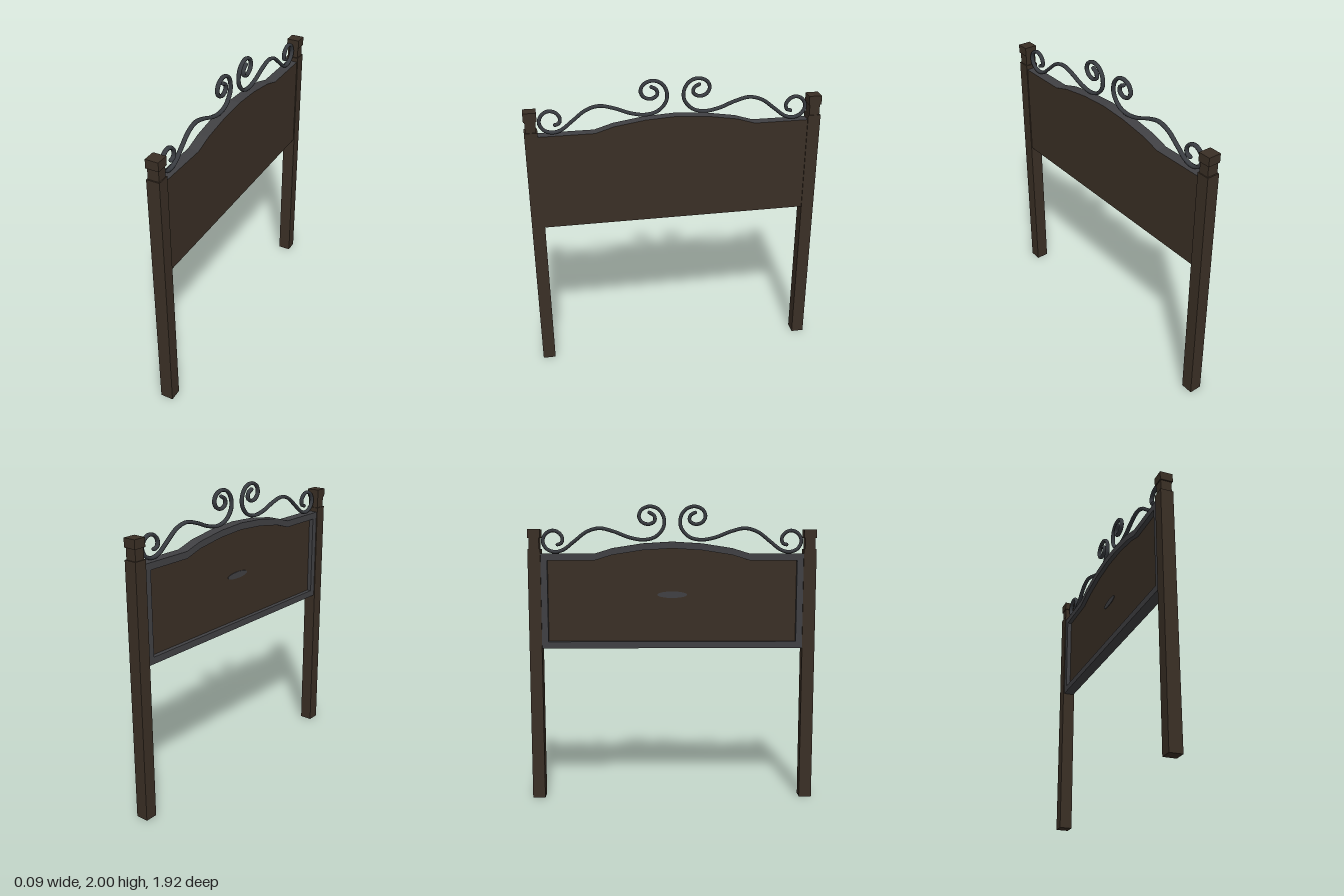
import * as THREE from 'three';

const mat = (name, color) => {
  const m = new THREE.MeshStandardMaterial({ color });
  m.name = name;
  return m;
};

export function createModel() {
  const wood = mat('dark wood', 0x3a2f25);
  const trim = mat('charcoal trim', 0x404043);
  const iron = mat('wrought iron', 0x383b40);
  const group = new THREE.Group();

  const add = (name, geometry, material, parent = group) => {
    const mesh = new THREE.Mesh(geometry, material);
    mesh.name = name;
    parent.add(mesh);
    return mesh;
  };

  // Board outline with a gently arched top, shrunk by an inset
  const outline = (inset) => {
    const side = 0.88 - inset, base = 1.04 + inset;
    const arch = [[-0.52, 1.675], [-0.4, 1.712], [-0.2, 1.743], [0, 1.755],
      [0.2, 1.743], [0.4, 1.712], [0.52, 1.675]];
    return [[-side, base], [side, base], [side, 1.675 - inset],
      ...arch.reverse().map(([s, y]) => [s, y - inset]), [-side, 1.675 - inset]]
      .map(([s, y]) => new THREE.Vector2(s, y));
  };
  // Extrude a shape drawn in the board plane from x0 to x1
  const slab = (shape, x0, x1) =>
    new THREE.ExtrudeGeometry(shape, { depth: x1 - x0, bevelEnabled: false, curveSegments: 16 })
      .rotateY(Math.PI / 2).translate(x0, 0, 0);

  // Raised frame, recessed panel and plain face
  const frame = new THREE.Shape(outline(0));
  frame.holes.push(new THREE.Path(outline(0.045).reverse()));
  add('frame', slab(frame, -0.036, 0.032), trim);
  add('recessedPanel', slab(new THREE.Shape(outline(0.04)), -0.006, 0.0), wood);
  add('plainFace', slab(new THREE.Shape(outline(0)), 0.032, 0.037), [wood, trim]);

  // Small plain plaque on the recessed panel
  const plaque = new THREE.Shape().absellipse(0, 1.4, 0.1, 0.022, 0, Math.PI * 2);
  add('plaque', slab(plaque, -0.01, -0.006), trim);

  // Scroll centre line as [z, y]
  const scroll = [[0.767, 1.735], [0.741, 1.745], [0.735, 1.782], [0.762, 1.817],
    [0.804, 1.828], [0.847, 1.804], [0.865, 1.756], [0.841, 1.708], [0.788, 1.687],
    [0.73, 1.70], [0.656, 1.756], [0.571, 1.82], [0.487, 1.843], [0.392, 1.822],
    [0.286, 1.782], [0.19, 1.767], [0.111, 1.788], [0.058, 1.851], [0.058, 1.92],
    [0.095, 1.971], [0.153, 1.987], [0.206, 1.963], [0.222, 1.92], [0.201, 1.883],
    [0.153, 1.87], [0.116, 1.894], [0.122, 1.928], [0.153, 1.947]];

  for (const s of [1, -1]) {
    // Post with a narrow neck and a square cap
    const post = new THREE.Group();
    post.name = s > 0 ? 'frontPost' : 'backPost';
    post.position.z = s * 0.92;
    const block = (name, w, d, y0, y1) =>
      add(name, new THREE.BoxGeometry(w, y1 - y0, d).translate(0, (y0 + y1) / 2, 0), wood, post);
    block('leg', 0.086, 0.084, 0, 1.705);
    block('neck', 0.074, 0.068, 1.705, 1.778);
    block('cap', 0.086, 0.084, 1.778, 1.836);
    group.add(post);

    // Iron scroll, wider across than it is tall
    const path = new THREE.CatmullRomCurve3(
      scroll.map(([z, y]) => new THREE.Vector3(0, y, s * z)));
    const tube = new THREE.TubeGeometry(path, 140, 0.012, 8).scale(1.3, 1, 1);
    add(s > 0 ? 'frontScroll' : 'backScroll', tube, iron);

    // Closed scroll tips
    for (const [z, y] of [scroll[0], scroll[scroll.length - 1]]) {
      add('scrollTip', new THREE.SphereGeometry(0.012, 8, 6).scale(1.3, 1, 1)
        .translate(0, y, s * z), iron);
    }
  }
  return group;
}
